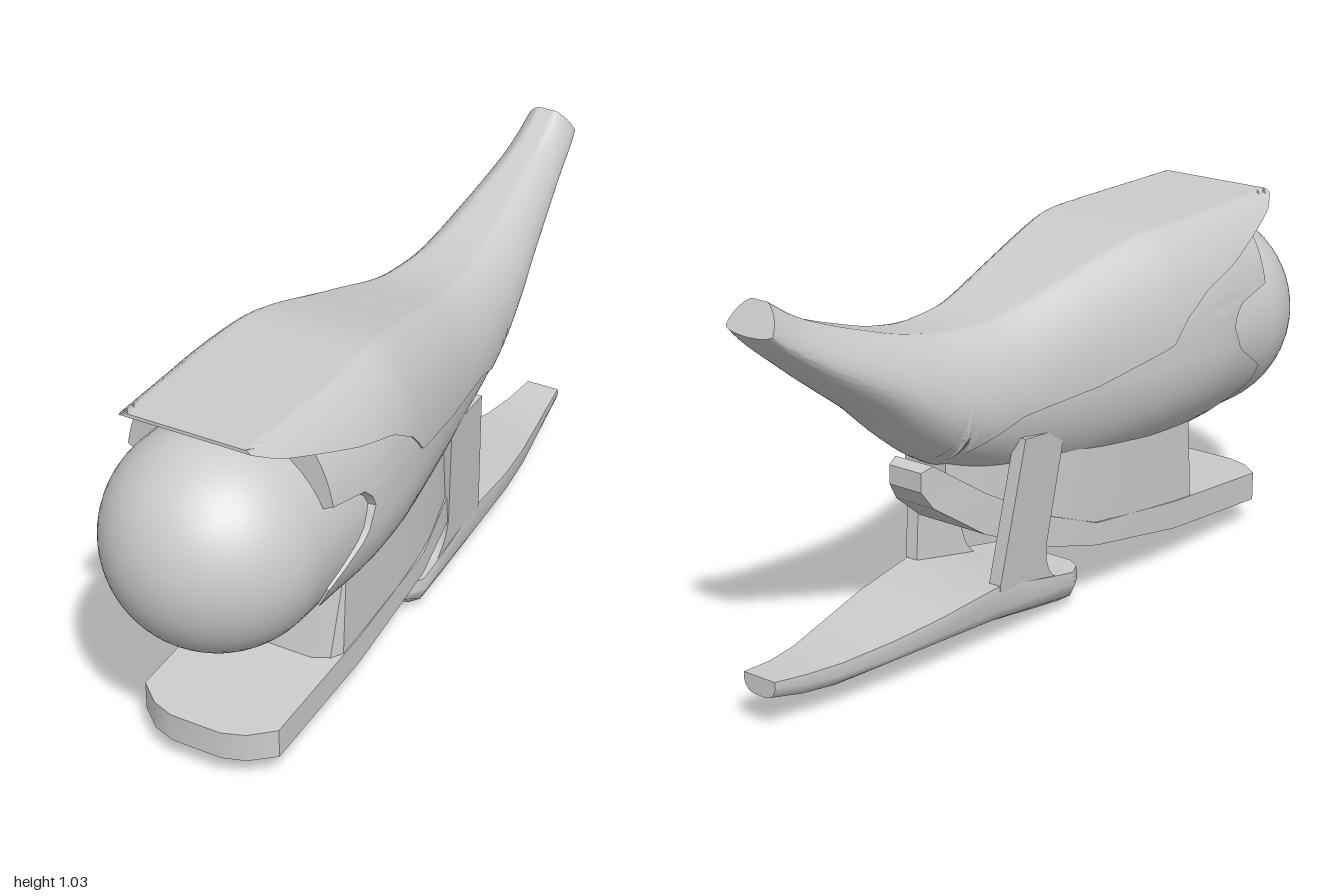
import * as THREE from 'three';
import { toCreasedNormals } from 'three/addons/utils/BufferGeometryUtils.js';

const material = new THREE.MeshStandardMaterial({ color: 0xcccccc, side: THREE.DoubleSide });
const V = (x, y, z) => new THREE.Vector3(x, y, z);

// Hull stations from front to back: z, half width, top, widest height, bottom, squareness of the upper half
const STATIONS = [
  [0.84, 0.285, 0.945, 0.62, 0.325, 2.5],
  [0.60, 0.296, 0.945, 0.62, 0.325, 2.5],
  [0.45, 0.303, 0.945, 0.62, 0.325, 2.5],
  [0.30, 0.29, 0.945, 0.62, 0.327, 2.5],
  [0.20, 0.272, 0.93, 0.62, 0.33, 2.4],
  [0, 0.231, 0.88, 0.62, 0.345, 2.3],
  [-0.20, 0.195, 0.833, 0.62, 0.4, 2.1],
  [-0.35, 0.174, 0.826, 0.63, 0.46, 2],
  [-0.45, 0.16, 0.838, 0.66, 0.515, 1.9],
  [-0.60, 0.135, 0.875, 0.74, 0.64, 1.8],
  [-0.80, 0.089, 0.957, 0.88, 0.842, 1.7],
  [-0.95, 0.071, 1.03, 0.968, 0.955, 1.7],
];
// The upper half aims this much above the top and is cut flat there
const CROWN = 1.12;
// Lower edge of the top shell (z, y) and front outline of the side panels (y, z)
const SHELL_EDGE = [[0.84, 0.936], [0.78, 0.905], [0.66, 0.865], [0.54, 0.825], [0.4, 0.79], [0.3, 0.73],
  [0.25, 0.67], [0, 0.62], [-0.25, 0.6], [-0.38, 0.55], [-0.43, 0.505], [-0.46, 0.4], [-1, 0.4]];
const PANEL_FRONT = [[1, 0.67], [0.725, 0.67], [0.715, 0.54], [0.67, 0.5], [0.59, 0.54],
  [0.51, 0.67], [0.45, 0.67], [0.4, 0.56], [0.3, 0.56]];

// Linear lookup in a table whose first column descends
function lookup(table, v) {
  let i = 0;
  while (i < table.length - 2 && v < table[i + 1][0]) i++;
  const [a, b] = [table[i], table[i + 1]];
  return THREE.MathUtils.lerp(a[1], b[1], THREE.MathUtils.clamp((v - a[0]) / (b[0] - a[0]), 0, 1));
}

// Smooth hull measurements at any z
function station(z) {
  const n = STATIONS.length;
  let i = 0;
  while (i < n - 2 && z < STATIONS[i + 1][0]) i++;
  const at = k => STATIONS[THREE.MathUtils.clamp(k, 0, n - 1)];
  const [p, a, b, q] = [at(i - 1), at(i), at(i + 1), at(i + 2)];
  const h = b[0] - a[0], t = (z - a[0]) / h, u = 1 - t;
  return a.map((_, c) => {
    const ma = (b[c] - p[c]) / (b[0] - p[0]) * h, mb = (q[c] - a[c]) / (q[0] - a[0]) * h;
    return a[c] * (1 + 2 * t) * u * u + ma * t * u * u + b[c] * t * t * (3 - 2 * t) - mb * t * t * u;
  });
}

// Point on the hull at z and angle; inset shrinks the width and top
function hullPoint(z, angle, inset = 0) {
  const [, w, top, mid, bottom, n] = station(z);
  const c = Math.cos(angle), s = Math.sin(angle), p = s > 0 ? 2 / n : 1;
  return V((w - inset) * Math.sign(c) * Math.abs(c) ** p,
    s > 0 ? mid + (top - 2 * inset - mid) * Math.min(1, CROWN * s ** p) : mid + (mid - bottom) * s, z);
}

// Skin closed rings running counter-clockwise, ordered front to back
function skin(rings, crease = 0.6, capFront = true) {
  const n = rings[0].length, pos = [];
  const tri = (...pts) => pts.forEach(p => pos.push(p.x, p.y, p.z));
  for (let i = 0; i < rings.length - 1; i++) {
    for (let j = 0; j < n; j++) {
      const k = (j + 1) % n, [r, s] = [rings[i], rings[i + 1]];
      tri(r[j], s[j], s[k]);
      tri(r[j], s[k], r[k]);
    }
  }
  const cap = (ring, front) => {
    const c = ring.reduce((m, p) => m.addScaledVector(p, 1 / n), V(0, 0, 0));
    ring.forEach((p, j) => front ? tri(c, p, ring[(j + 1) % n]) : tri(c, ring[(j + 1) % n], p));
  };
  if (capFront) cap(rings[0], true);
  cap(rings[rings.length - 1], false);
  const g = new THREE.BufferGeometry();
  g.setAttribute('position', new THREE.Float32BufferAttribute(pos, 3));
  return toCreasedNormals(g, crease);
}

function add(parent, name, geometry) {
  const mesh = new THREE.Mesh(geometry, material);
  mesh.name = name;
  parent.add(mesh);
  return mesh;
}

// Top shell: visor in front, wrapping into the full raised tail
function shellGeometry() {
  const rings = [], rows = 64, cols = 64;
  for (let i = 0; i <= rows; i++) {
    const z = THREE.MathUtils.lerp(0.84, -0.95, i / rows);
    const [, , top, mid, bottom, n] = station(z), e = lookup(SHELL_EDGE, z);
    const a0 = e > mid ? Math.asin(((e - mid) / (top - mid) / CROWN) ** (n / 2))
      : -Math.asin(Math.min(1, (mid - e) / (mid - bottom)));
    const shear = 0.58 * THREE.MathUtils.smoothstep(-z, 0.6, 0.95);
    rings.push(Array.from({ length: cols + 1 }, (_, j) => {
      const p = hullPoint(z, THREE.MathUtils.lerp(a0, Math.PI - a0, j / cols));
      p.z -= shear * (1.03 - p.y);
      return p;
    }));
  }
  return skin(rings);
}

// Lower hull with a notched front outline and a rim turned in to the ball
function hullGeometry() {
  const rows = 40, cols = 96, rings = [];
  for (let i = 0; i <= rows; i++) {
    rings.push(Array.from({ length: cols }, (_, j) => {
      const a = j / cols * Math.PI * 2;
      const front = lookup(PANEL_FRONT, hullPoint(0.6, a, 0.005).y);
      return hullPoint(THREE.MathUtils.lerp(front, -0.45, i / rows), a, 0.005);
    }));
  }
  rings.unshift(rings[0].map(p => V(p.x * 0.6, 0.61 + (p.y - 0.61) * 0.6, p.z)));
  return skin(rings, 0.6, false);
}

// Box-like loft; each row is z at top, z at bottom, top, bottom, half width
const slab = rows => skin(rows.map(([zt, zb, t, b, w]) =>
  [V(w, b, zb), V(w, t, zt), V(-w, t, zt), V(-w, b, zb)]), 0.5);

// Rear ski with a rounded belly; each row is z, top, edge, bottom, half width
const ski = rows => skin(rows.map(([z, t, e, b, w]) => {
  const half = [[0.35, b], [0.68, b + (e - b) * 0.15], [0.9, b + (e - b) * 0.5], [1, e], [0.97, t]];
  return [...half.map(([k, y]) => V(k * w, y, z)), ...half.reverse().map(([k, y]) => V(-k * w, y, z))];
}), 0.7);

// Strut profile with a flared foot, leaning outward to the hull
function strutGeometry(side) {
  const s = new THREE.Shape();
  s.moveTo(0.0, 0.09);
  s.quadraticCurveTo(0.12, 0.1, 0.12, 0.22);
  s.lineTo(0.08, 0.525);
  s.lineTo(0.24, 0.54);
  s.lineTo(0.3, 0.165);
  s.lineTo(0.3, 0.1);
  const g = new THREE.ExtrudeGeometry(s, { depth: 0.036, bevelEnabled: false, curveSegments: 10 });
  g.translate(0, 0, -0.018).rotateY(Math.PI / 2);
  const p = g.attributes.position;
  for (let i = 0; i < p.count; i++) {
    p.setX(i, p.getX(i) + side * (0.13 + 0.085 * (p.getY(i) - 0.1)));
  }
  g.computeVertexNormals();
  return g;
}

export function createModel() {
  const model = new THREE.Group();
  model.name = 'craft';

  add(model, 'topShell', shellGeometry());
  add(model, 'lowerHull', hullGeometry());

  // Round nose, running back inside the hull
  const nose = add(model, 'noseBall', new THREE.CapsuleGeometry(0.279, 0.28, 20, 48).rotateX(Math.PI / 2));
  nose.position.set(0, 0.61, 0.581);

  add(model, 'chinPylon', slab([
    [0.46, 0.525, 0.45, 0.15, 0.12], [0.458, 0.505, 0.45, 0.15, 0.165], [0.455, 0.475, 0.45, 0.15, 0.187],
    [0.2, 0.2, 0.46, 0.18, 0.185], [0, 0, 0.47, 0.21, 0.172], [-0.12, -0.12, 0.47, 0.27, 0.15],
    [-0.27, -0.27, 0.5, 0.35, 0.105], [-0.4, -0.4, 0.54, 0.43, 0.065],
  ]));

  add(model, 'chinPlank', slab([
    [0.85, 0.85, 0.14, 0.065, 0.07], [0.83, 0.83, 0.142, 0.066, 0.13], [0.78, 0.78, 0.146, 0.068, 0.19],
    [0.4, 0.4, 0.18, 0.103, 0.19], [0.06, 0.06, 0.225, 0.163, 0.182], [-0.12, -0.12, 0.295, 0.21, 0.155],
    [-0.3, -0.3, 0.4, 0.29, 0.105], [-0.44, -0.44, 0.5, 0.39, 0.06], [-0.475, -0.475, 0.49, 0.44, 0.05],
  ]));

  // Rear landing ski on two struts
  const gear = new THREE.Group();
  gear.name = 'rearGear';
  add(gear, 'rearSki', ski([
    [0.06, 0.1, 0.08, 0.05, 0.1], [0.04, 0.1, 0.07, 0.026, 0.135], [0, 0.1, 0.065, 0, 0.157],
    [-0.1, 0.12, 0.08, 0.014, 0.158], [-0.3, 0.163, 0.1, 0.045, 0.155], [-0.5, 0.145, 0.1, 0.057, 0.138],
    [-0.65, 0.13, 0.092, 0.058, 0.112], [-0.8, 0.12, 0.09, 0.052, 0.08], [-0.9, 0.124, 0.1, 0.064, 0.062],
    [-0.997, 0.136, 0.122, 0.088, 0.05],
  ]));
  for (const side of [1, -1]) add(gear, side > 0 ? 'leftStrut' : 'rightStrut', strutGeometry(side));
  model.add(gear);
  return model;
}
